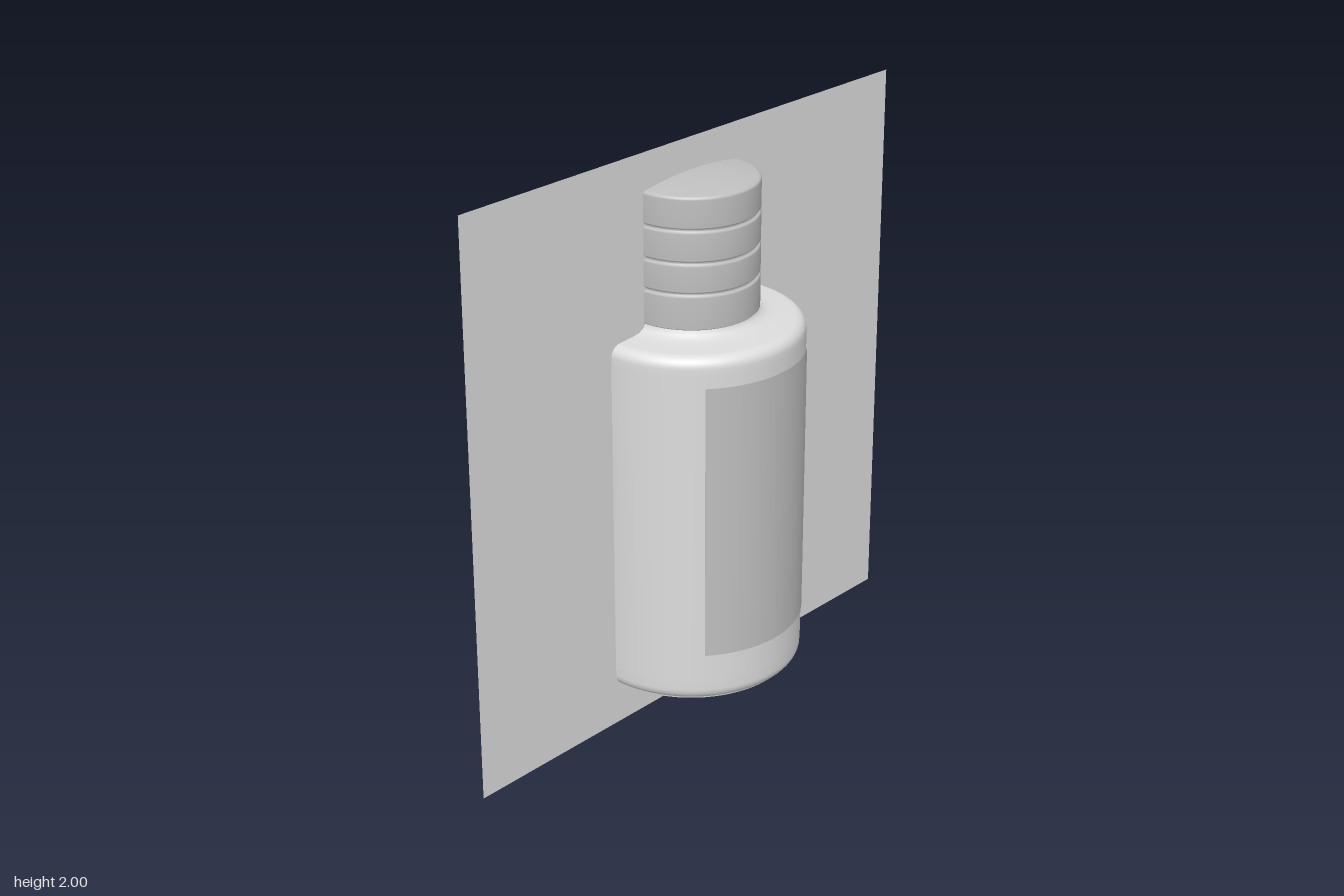
import * as THREE from 'three';

const mat = (name, color, side = THREE.FrontSide) => {
  const m = new THREE.MeshStandardMaterial({ color, side });
  m.name = name;
  return m;
};

export function createModel() {
  const group = new THREE.Group();
  const bodyMat = mat('pale plastic', 0xdcdcdc);
  const trimMat = mat('grey trim', 0xbfbfbf, THREE.DoubleSide);
  const panelMat = mat('backdrop grey', 0xdadada, THREE.DoubleSide);

  const add = (name, geometry, material) => {
    const mesh = new THREE.Mesh(geometry, material);
    mesh.name = name;
    group.add(mesh);
    return mesh;
  };
  const lathe = (pts) =>
    new THREE.LatheGeometry(pts.map(([x, y]) => new THREE.Vector2(x, y)), 72);

  // Hollowed base
  const punt = [];
  for (let i = 0; i <= 10; i++) {
    const r = (0.335 * i) / 10;
    punt.push([r, 0.14 + 0.07 * (1 - (r / 0.335) ** 2)]);
  }
  add('base', lathe([...punt, [0.337, 0.138], [0.345, 0.138], [0.348, 0.14], [0.348, 0.15]]), bodyMat);

  // Body wall with rounded lower and upper edges, shoulder and neck
  const wall = [];
  for (let i = 0; i <= 8; i++) {
    const a = (i / 8) * Math.PI / 2;
    wall.push([0.343 + 0.034 * Math.sin(a), 0.187 - 0.041 * Math.cos(a)]);
  }
  wall.push([0.378, 0.23], [0.378, 1.33]);
  for (let i = 0; i <= 8; i++) {
    const a = (i / 8) * Math.PI / 2;
    wall.push([0.337 + 0.04 * Math.cos(a), 1.353 + 0.04 * Math.sin(a)]);
  }
  wall.push([0.28, 1.396], [0.25, 1.4], [0.23, 1.41], [0.218, 1.425], [0.215, 1.45]);
  add('body', lathe(wall), bodyMat);

  // Cap: four bands parted by fine grooves, with a domed top
  const R = 0.225, r = 0.214, b = 0.004;
  const cap = [[0.2, 1.425], [R - b, 1.425], [R, 1.429]];
  for (const y of [1.545, 1.65, 1.76]) {
    cap.push([R, y - 0.011], [R - b, y - 0.006], [r, y - 0.005],
      [r, y + 0.005], [R - b, y + 0.006], [R, y + 0.011]);
  }
  cap.push([R, 1.862], [R - 0.002, 1.868], [R - 0.008, 1.872]);
  for (let i = 8; i >= 0; i--) {
    const x = (0.21 * i) / 8;
    cap.push([x, 1.873 + 0.017 * (1 - (x / 0.21) ** 2)]);
  }
  add('cap', lathe(cap), trimMat);

  // Curved front label
  const half = Math.asin(0.25 / 0.381);
  add('label', new THREE.CylinderGeometry(0.381, 0.381, 0.97, 32, 1, true, -half, 2 * half), trimMat)
    .position.y = 0.805;

  // Thin upright panel through the middle
  add('backPanel', new THREE.PlaneGeometry(2, 2), panelMat).position.y = 1;

  return group;
}
